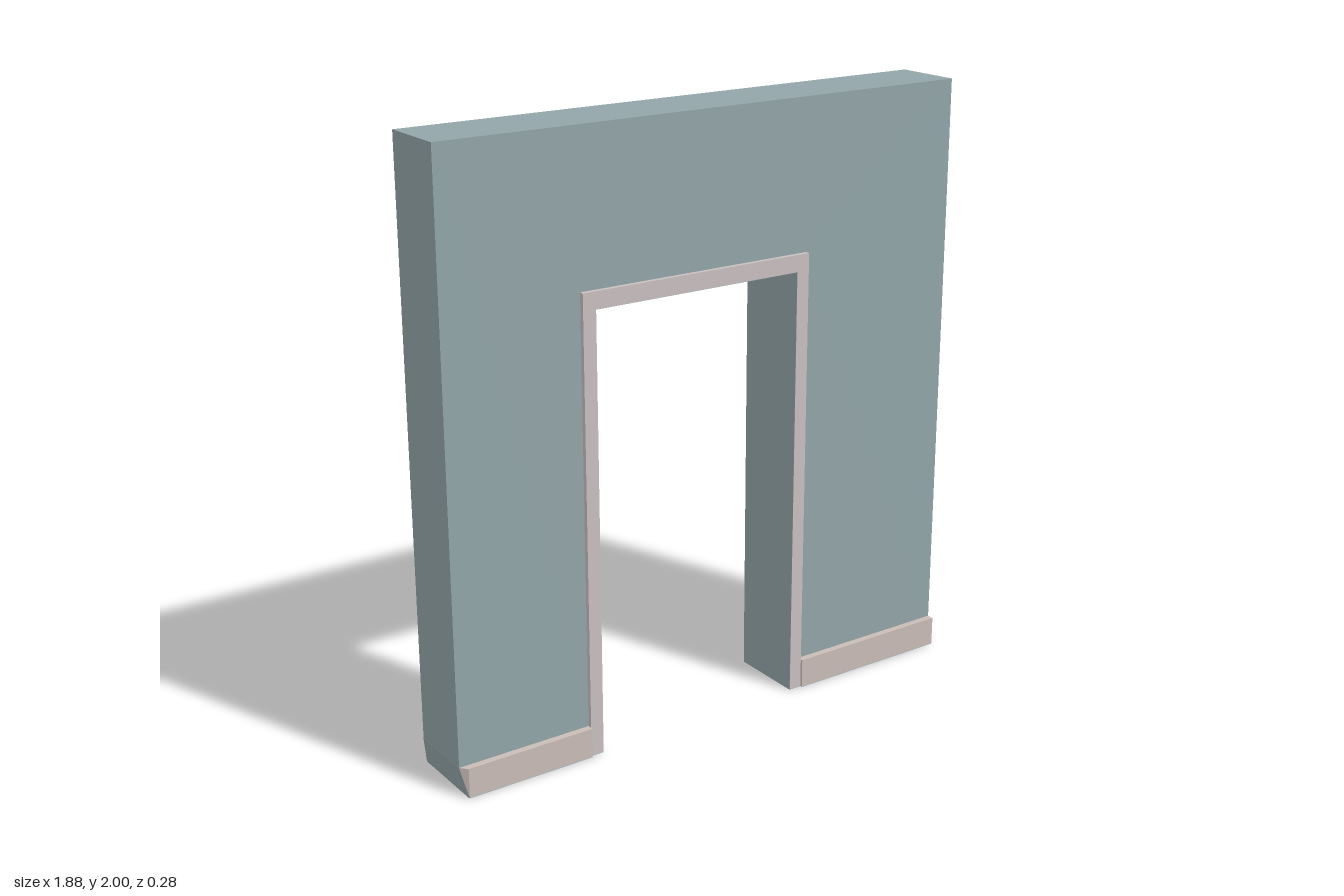
import * as THREE from 'three';
import { ConvexGeometry } from 'three/addons/geometries/ConvexGeometry.js';

const wallMat = new THREE.MeshStandardMaterial({ color: 0x92a5a8, side: THREE.DoubleSide });
const trimMat = new THREE.MeshStandardMaterial({ color: 0xc9bfc0 });
const skirtMat = new THREE.MeshStandardMaterial({ color: 0xc9bcb6 });

// Outer wall edge, casing outer edges, opening edges, heights and half depths
const X = 0.94, OL = -0.48, OR = 0.355, IL = -0.435, IR = 0.31;
const TOP = 2, OT = 1.51, IT = 1.455, SKIRT = 0.1, FLOOR = 0.002;
const WZ = 0.115, TZ = 0.13, SZ = 0.138, CUT = 0.92, E = 0.001;

export function createModel() {
  const model = new THREE.Group();
  model.name = 'doorwayWall';

  const add = (name, geometry, material) => {
    const mesh = new THREE.Mesh(geometry, material);
    mesh.name = name;
    model.add(mesh);
  };

  // Outline extruded evenly to both sides of z = 0
  const slab = (name, points, halfDepth, material) => {
    const shape = new THREE.Shape(points.map(([x, y]) => new THREE.Vector2(x, y)));
    const geometry = new THREE.ExtrudeGeometry(shape, { depth: 2 * halfDepth, bevelEnabled: false });
    add(name, geometry.translate(0, 0, -halfDepth), material);
  };

  // Flat four-cornered facing, corners counter-clockwise from outside
  const facing = (name, a, b, c, d) => {
    const geometry = new THREE.BufferGeometry();
    geometry.setAttribute('position', new THREE.Float32BufferAttribute([a, b, c, a, c, d].flat(), 3));
    geometry.computeVertexNormals();
    add(name, geometry, wallMat);
  };

  // Wall with the doorway cut out
  slab('wall', [[-X, SKIRT], [OL, SKIRT], [OL, OT], [OR, OT], [OR, SKIRT], [X, SKIRT], [X, TOP], [-X, TOP]], WZ, wallMat);

  // Door casing
  slab('doorCasing', [[OL, FLOOR], [IL, FLOOR], [IL, IT], [IR, IT], [IR, FLOOR], [OR, FLOOR], [OR, OT], [OL, OT]], TZ, trimMat);

  // Wall-coloured linings on one jamb and under the lintel
  facing('jambLining', [IR - E, 0, -TZ], [IR - E, 0, TZ], [IR - E, IT, TZ], [IR - E, IT, -TZ]);
  facing('lintelLining', [IL, IT - E, -TZ], [IR, IT - E, -TZ], [IR, IT - E, TZ], [IL, IT - E, TZ]);

  // Skirting: square on the left end, tapered on the right end
  slab('leftSkirting', [[OR, FLOOR], [X, FLOOR], [X, SKIRT], [OR, SKIRT]], SZ, skirtMat);
  const corners = [1, -1].flatMap((s) => [
    [-X, SKIRT, s * WZ], [-CUT, SKIRT, s * SZ], [OL, SKIRT, s * SZ],
    [-CUT, FLOOR, s * SZ], [OL, FLOOR, s * SZ],
  ]);
  add('rightSkirting', new ConvexGeometry(corners.map((p) => new THREE.Vector3(...p))), skirtMat);
  facing('rightSkirtingEnd', [-CUT - E, 0, -SZ], [-CUT - E, 0, SZ], [-X - E, SKIRT, WZ], [-X - E, SKIRT, -WZ]);

  // Undersides
  for (const [name, x0, x1, z] of [
    ['rightSole', -CUT, OL, SZ], ['rightCasingSole', OL, IL, TZ],
    ['leftCasingSole', IR, OR, TZ], ['leftSole', OR, X, SZ],
  ]) facing(name, [x0, 0, -z], [x1, 0, -z], [x1, 0, z], [x0, 0, z]);

  return model;
}
